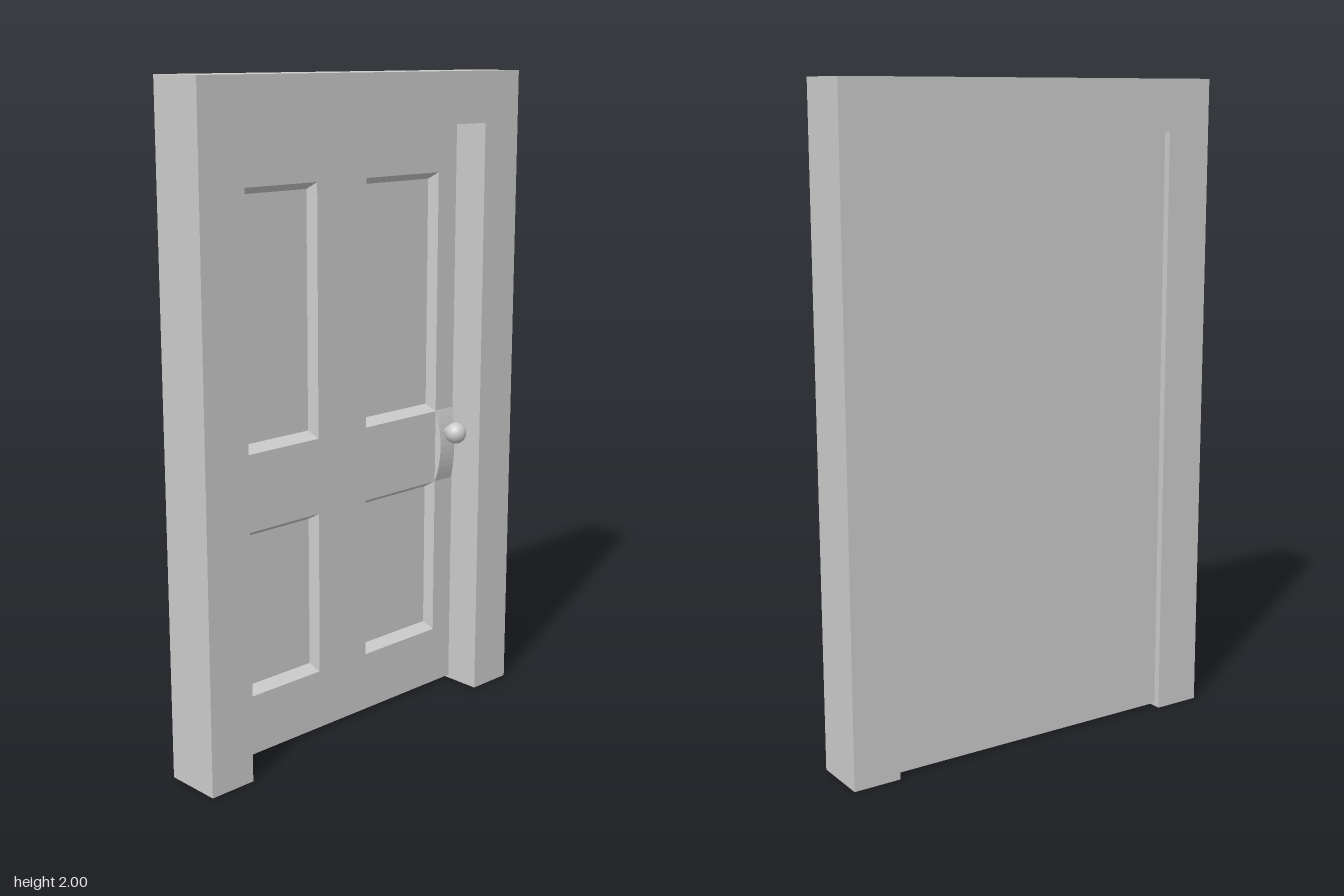
import * as THREE from 'three';

const mat = new THREE.MeshStandardMaterial({ color: 0xcccccc });

const FRAME_DEPTH = 0.18;
const FACE_X = -0.027;   // panelled face of the door
const PANEL_X = -0.061;  // sunken panel faces
const BACK_X = -0.068;   // plain face of the door
const DOOR = { u0: -0.48, u1: 0.48, y0: 0.01, y1: 1.845 };

// Panels as rectangles in (u, y), where u = -z
const PANELS = [];
for (const [u0, u1] of [[-0.38, -0.109], [0.088, 0.4]])
  for (const [y0, y1] of [[0.196, 0.704], [0.937, 1.694]]) PANELS.push({ u0, u1, y0, y1 });

const corners = (r) => [[r.u0, r.y0], [r.u1, r.y0], [r.u1, r.y1], [r.u0, r.y1]]
  .map(([u, y]) => new THREE.Vector2(u, y));

function part(name, geometry, x = 0, y = 0, z = 0) {
  const mesh = new THREE.Mesh(geometry, mat);
  mesh.name = name;
  mesh.position.set(x, y, z);
  return mesh;
}

// Extrude a (u, y) shape along +x
const extrude = (shape, depth) =>
  new THREE.ExtrudeGeometry(shape, { depth, bevelEnabled: false });

// Surround: two jambs and a head in one piece
function doorFrame() {
  const shape = new THREE.Shape([
    [-0.63, 0], [-0.48, 0], [-0.48, 1.845], [0.48, 1.845],
    [0.48, 0], [0.63, 0], [0.63, 2], [-0.63, 2],
  ].map(([u, y]) => new THREE.Vector2(u, y)));
  return part('doorFrame', extrude(shape, FRAME_DEPTH).rotateY(Math.PI / 2), -FRAME_DEPTH / 2);
}

// Rails and stiles, with the openings narrowing towards the back
function doorFace() {
  const shape = new THREE.Shape(corners(DOOR));
  for (const p of PANELS) shape.holes.push(new THREE.Path(corners(p).reverse()));
  const geo = extrude(shape, FACE_X - PANEL_X);
  const pos = geo.attributes.position;
  for (let i = 0; i < pos.count; i++) {
    if (pos.getZ(i) > 1e-4) continue;
    const u = pos.getX(i), y = pos.getY(i);
    for (const p of PANELS) {
      const inside = u > p.u0 - 1e-4 && u < p.u1 + 1e-4 && y > p.y0 - 1e-4 && y < p.y1 + 1e-4;
      if (!inside) continue;
      pos.setX(i, u + 0.011 * Math.sign((p.u0 + p.u1) / 2 - u));
      pos.setY(i, y + 0.021 * Math.sign((p.y0 + p.y1) / 2 - y));
    }
  }
  geo.computeVertexNormals();
  return part('railsAndStiles', geo.rotateY(Math.PI / 2), PANEL_X);
}

// Thin backing that closes the openings
function doorBack() {
  const geo = extrude(new THREE.Shape(corners(DOOR)), PANEL_X - BACK_X);
  return part('doorBack', geo.rotateY(Math.PI / 2), BACK_X);
}

// Handle plate, bowed outwards along its height with sloping sides
function handlePlate() {
  const h = 0.235, thickness = 0.018;
  const geo = new THREE.BoxGeometry(0.002, h, 0.077, 1, 10, 1).toNonIndexed();
  const pos = geo.attributes.position;
  for (let i = 0; i < pos.count; i++) {
    if (pos.getX(i) < 0) continue;
    const t = pos.getY(i) / (h / 2);
    const bow = 1 - t * t;
    pos.setX(i, thickness * bow + 0.001);
    pos.setZ(i, pos.getZ(i) * (1 - 0.15 * bow));
  }
  geo.computeVertexNormals();
  return part('handlePlate', geo, FACE_X, 0.822, -0.438);
}

// Round knob on a short stem
function knob() {
  const group = new THREE.Group();
  group.name = 'knob';
  const stem = new THREE.CylinderGeometry(0.013, 0.013, 0.05, 16).rotateZ(Math.PI / 2);
  group.add(part('knobStem', stem, 0.025));
  group.add(part('knobBall', new THREE.SphereGeometry(0.034, 24, 16), 0.053));
  group.position.set(FACE_X, 0.868, -0.438);
  return group;
}

export function createModel() {
  const model = new THREE.Group();
  model.name = 'panelledDoor';
  const door = new THREE.Group();
  door.name = 'door';
  door.add(doorFace(), doorBack(), handlePlate(), knob());
  model.add(doorFrame(), door);
  return model;
}
